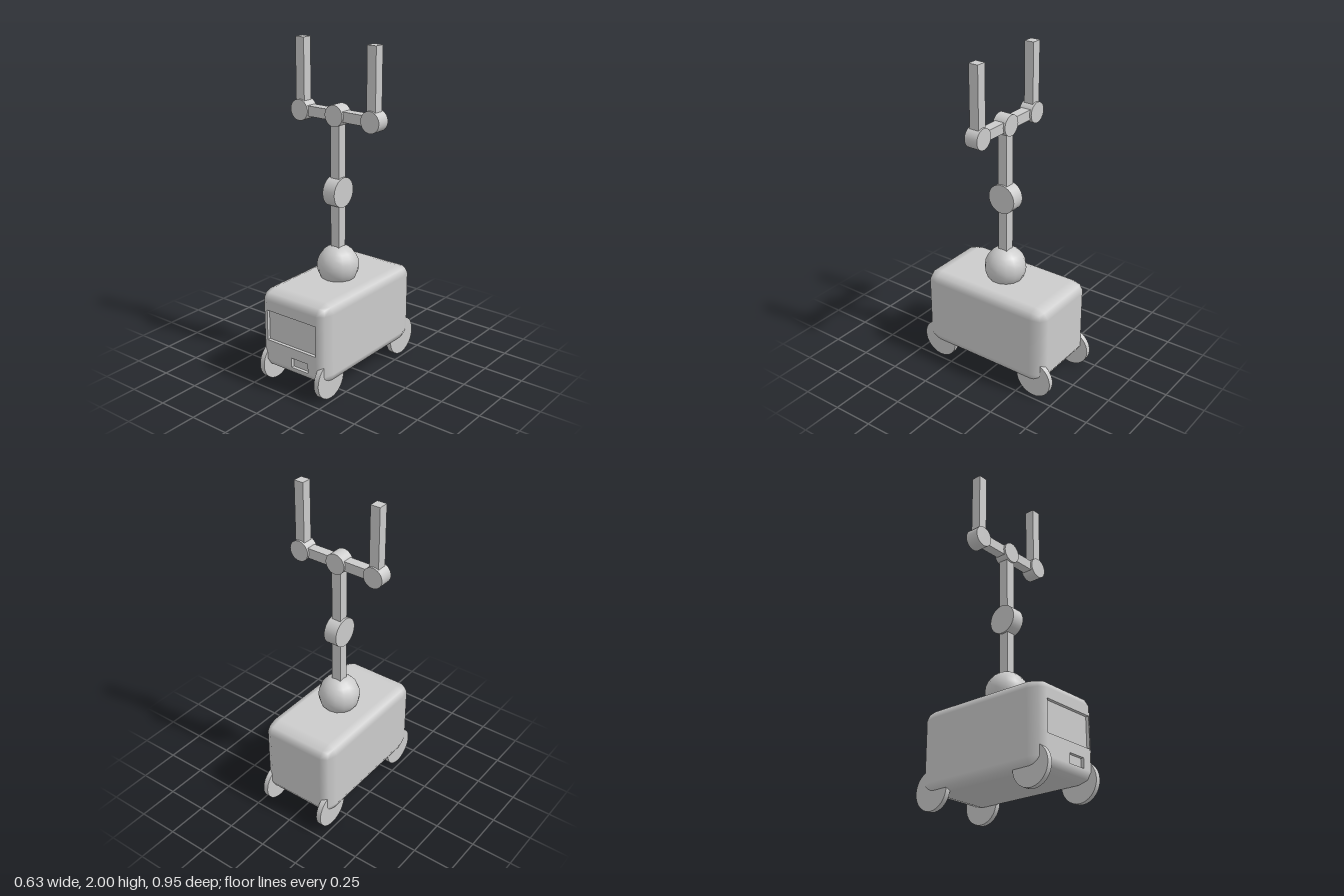
import * as THREE from 'three';
import { RoundedBoxGeometry } from 'three/addons/geometries/RoundedBoxGeometry.js';

const ZC = 0.0085; // depth of the body and mast centre line
const W = 0.486, H = 0.495, D = 0.873, BASE = 0.098, R = 0.06;
const FRONT = ZC + D / 2, RECESS = 0.02;

export function createModel() {
  const root = new THREE.Group();
  const mat = new THREE.MeshStandardMaterial({ color: 0xcccccc });
  const add = (name, geo, x, y, z) => {
    const mesh = new THREE.Mesh(geo, mat);
    mesh.name = name;
    mesh.position.set(x, y, z);
    root.add(mesh);
    return mesh;
  };
  // Disc whose axis runs along x or z
  const disc = (name, axis, r, width, x, y, z) => {
    const geo = new THREE.CylinderGeometry(r, r, width, 32);
    if (axis === 'x') geo.rotateZ(Math.PI / 2);
    else geo.rotateX(Math.PI / 2);
    return add(name, geo, x, y, z);
  };

  // Rounded body, bevel stretched along its length, front centre left open
  const box = new RoundedBoxGeometry(W, H, D / 1.5, 1, R).toNonIndexed();
  box.scale(1, 1, 1.5);
  const pos = box.attributes.position, nor = box.attributes.normal;
  const p = [], n = [];
  for (let i = 0; i < pos.count; i += 3) {
    if ([0, 1, 2].every((k) => pos.getZ(i + k) > D / 2 - 1e-4)) continue;
    for (let k = i; k < i + 3; k++) {
      p.push(pos.getX(k), pos.getY(k), pos.getZ(k));
      n.push(nor.getX(k), nor.getY(k), nor.getZ(k));
    }
  }
  const shell = new THREE.BufferGeometry();
  shell.setAttribute('position', new THREE.Float32BufferAttribute(p, 3));
  shell.setAttribute('normal', new THREE.Float32BufferAttribute(n, 3));
  add('body', shell, 0, BASE + H / 2, ZC);

  // Front plate with a screen recess and a small slot
  const rect = (target, x0, x1, y0, y1) =>
    target.moveTo(x0, y0).lineTo(x1, y0).lineTo(x1, y1).lineTo(x0, y1).closePath();
  const plate = rect(new THREE.Shape(), -W / 2 + R, W / 2 - R, BASE + R, BASE + H - R);
  const recesses = [
    ['screen', -0.181, 0.181, 0.283, 0.473],
    ['slot', 0, 0.122, 0.161, 0.22],
  ];
  for (const [name, x0, x1, y0, y1] of recesses) {
    plate.holes.push(rect(new THREE.Path(), x0, x1, y0, y1));
    add(name, new THREE.PlaneGeometry(x1 - x0, y1 - y0), (x0 + x1) / 2, (y0 + y1) / 2, FRONT - RECESS);
  }
  add('frontPlate', new THREE.ExtrudeGeometry(plate, { depth: RECESS, bevelEnabled: false }), 0, 0, FRONT - RECESS);

  // Wheels
  for (const x of [-0.206, 0.206])
    for (const z of [-0.356, 0.356])
      disc('wheel', 'x', 0.118, 0.032, x, 0.118, z);

  // Ball turret and jointed mast
  const ball = new THREE.SphereGeometry(0.127, 14, 12);
  ball.rotateY(Math.PI / 2);
  add('turretBall', ball, 0, 0.666, ZC);
  const bar = 0.061;
  add('lowerMast', new THREE.BoxGeometry(bar, 0.42, bar), 0, 0.9, ZC);
  disc('mastJoint', 'x', 0.09, 0.085, 0, 1.124, ZC);
  add('upperMast', new THREE.BoxGeometry(bar, 0.44, bar), 0, 1.35, ZC);

  // Fork: centre hub, side arms, side hubs and upright prongs
  const hubY = 1.579, hubX = 0.253;
  disc('centreHub', 'z', 0.063, 0.085, 0, hubY, ZC);
  for (const s of [-1, 1]) {
    add('forkArm', new THREE.BoxGeometry(hubX, bar, bar), s * hubX / 2, hubY, ZC);
    disc('sideHub', 'z', 0.063, 0.085, s * hubX, hubY, ZC);
    add('prong', new THREE.BoxGeometry(bar, 2 - hubY, bar), s * hubX, (2 + hubY) / 2, ZC);
  }
  return root;
}
